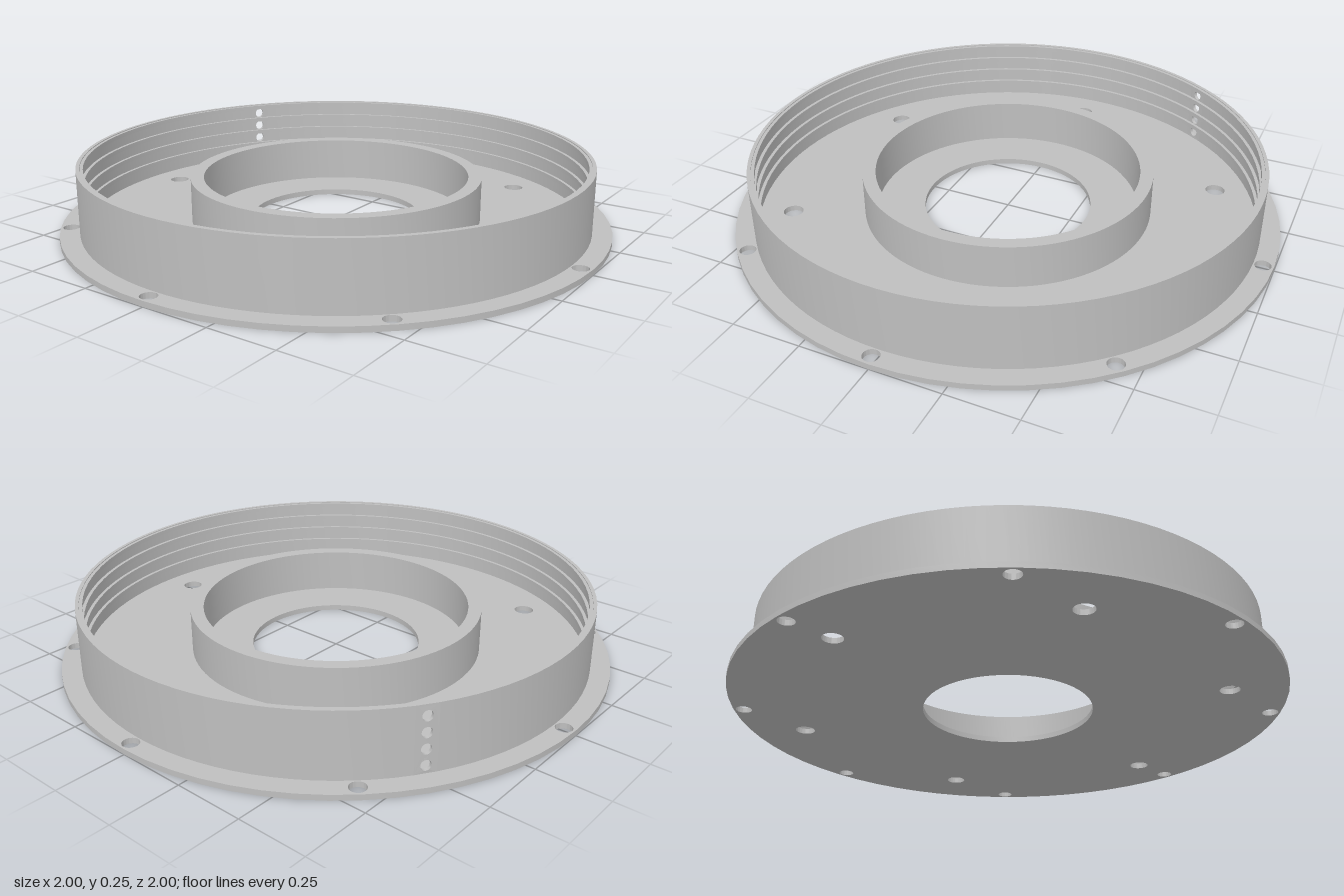
import * as THREE from 'three';
import { toCreasedNormals } from 'three/addons/utils/BufferGeometryUtils.js';

const TAU = Math.PI * 2;
const BASE = 0.02, TOP = 0.255;          // plate thickness, rim height
const WALL_IN = 0.917, WALL_OUT = 0.93;  // rim wall radii
const PORT_ANGLE = THREE.MathUtils.degToRad(237), PORT_HALF = 0.04;

function hole(x, y, r) {
  return new THREE.Path().absarc(x, y, r, 0, TAU, true);
}

// Revolves a closed counter-clockwise (radius, height) outline
function revolve(outline, start = 0, length = TAU) {
  const points = [...outline, outline[0]].map(([r, y]) => new THREE.Vector2(r, y));
  return toCreasedNormals(new THREE.LatheGeometry(points, 96, start, length), 0.4);
}

function ringOutline(rIn, rOut, y0, y1) {
  return [[rOut, y0], [rOut, y1], [rIn, y1], [rIn, y0]];
}

// Flat plate with the centre opening and two circles of screw holes
function basePlate() {
  const shape = new THREE.Shape().absarc(0, 0, 1, 0, TAU, false);
  shape.holes.push(hole(0, 0, 0.31));
  for (let i = 0; i < 6; i++) {
    const a = (i * TAU) / 6;
    shape.holes.push(hole(0.797 * Math.cos(a), 0.797 * Math.sin(a), 0.036));
  }
  for (let i = 0; i < 8; i++) {
    const a = (i * TAU) / 8 - 0.012;
    shape.holes.push(hole(0.963 * Math.cos(a), 0.963 * Math.sin(a), 0.029));
  }
  const geometry = new THREE.ExtrudeGeometry(shape, { depth: BASE, bevelEnabled: false, curveSegments: 32 });
  geometry.rotateX(-Math.PI / 2);
  return toCreasedNormals(geometry, 0.4);
}

// Short piece of the rim wall with four ports, bent to the wall's curve
function portPanel() {
  const shape = new THREE.Shape();
  shape.moveTo(-PORT_HALF, BASE);
  shape.lineTo(PORT_HALF, BASE);
  shape.lineTo(PORT_HALF, TOP);
  shape.lineTo(-PORT_HALF, TOP);
  shape.closePath();
  for (let i = 0; i < 4; i++) shape.holes.push(hole(0, 0.048 + i * 0.056, 0.019));
  const geometry = new THREE.ExtrudeGeometry(shape, { depth: WALL_OUT - WALL_IN, bevelEnabled: false, curveSegments: 10 });
  const p = geometry.attributes.position;
  for (let i = 0; i < p.count; i++) {
    const angle = PORT_ANGLE + p.getX(i), r = WALL_IN + p.getZ(i);
    p.setXYZ(i, r * Math.sin(angle), p.getY(i), r * Math.cos(angle));
  }
  geometry.computeVertexNormals();
  return toCreasedNormals(geometry, 0.4);
}

export function createModel() {
  const model = new THREE.Group();
  model.name = 'flangedHousing';
  const grey = new THREE.MeshStandardMaterial({ color: 0xbfbfbf });
  grey.name = 'light grey';

  const add = (name, geometry) => {
    const mesh = new THREE.Mesh(geometry, grey);
    mesh.name = name;
    model.add(mesh);
  };

  add('basePlate', basePlate());

  // Rim wall, open only where the port panel fits
  add('rimWall', revolve(ringOutline(WALL_IN, WALL_OUT, BASE, TOP),
    PORT_ANGLE + PORT_HALF, TAU - 2 * PORT_HALF));
  add('portPanel', portPanel());

  // Ridges between the ports on the inside of the wall
  for (let i = 0; i < 4; i++) {
    const y = 0.076 + i * 0.056;
    add('innerRidge' + (i + 1), revolve(ringOutline(0.905, WALL_IN, y - 0.008, y + 0.008)));
  }

  // Raised collar around the centre opening
  add('centreCollar', revolve(ringOutline(0.485, 0.533, BASE, 0.18)));

  return model;
}
